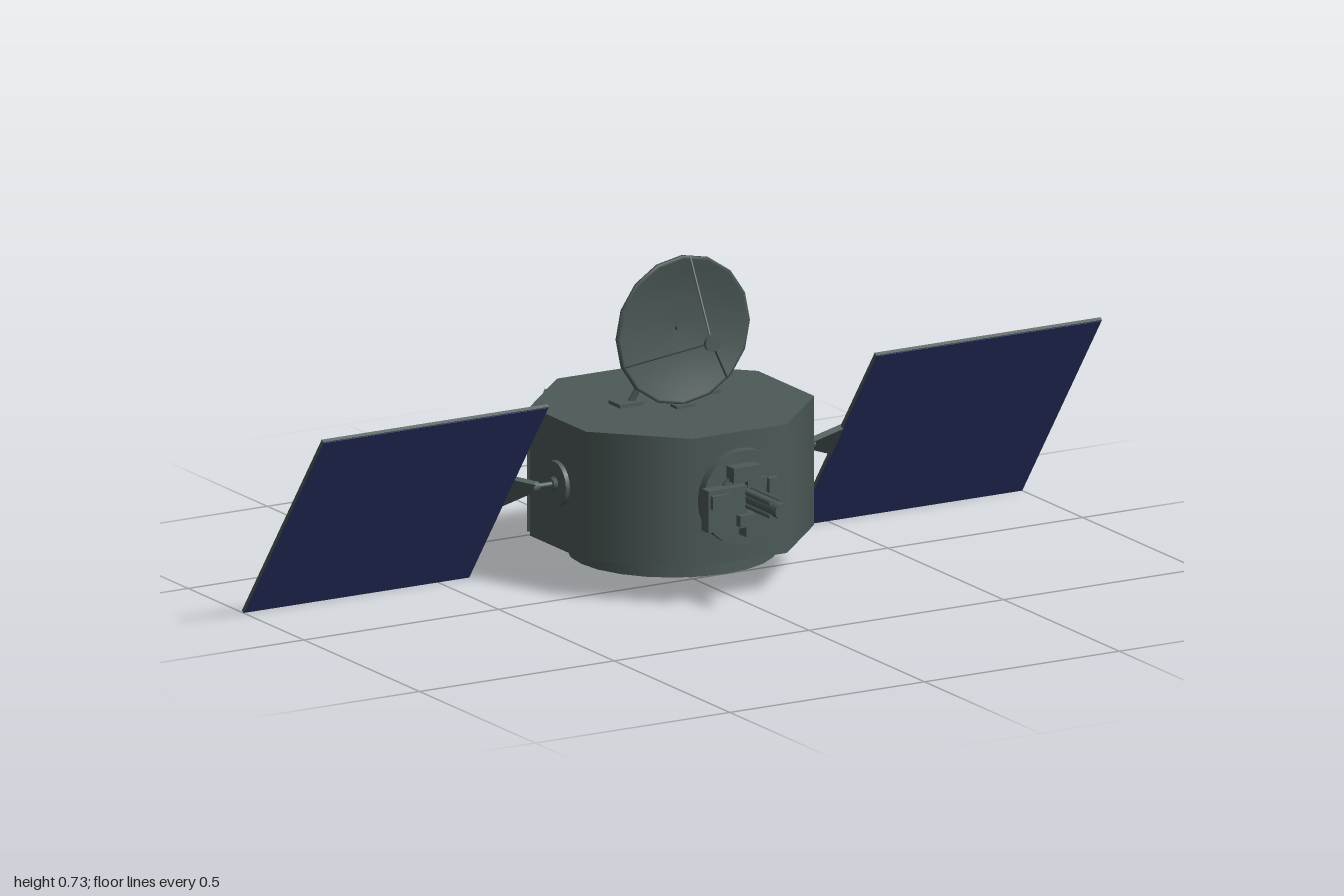
import * as THREE from 'three';

const metal = new THREE.MeshStandardMaterial({ color: 0x4c5a58 });
const blue = new THREE.MeshStandardMaterial({ color: 0x303c78 });
const CZ = -0.092; // body axis
const Y = new THREE.Vector3(0, 1, 0);

function add(parent, name, geo, pos = [0, 0, 0], mat = metal) {
  const m = new THREE.Mesh(geo, mat);
  m.name = name;
  m.position.set(...pos);
  parent.add(m);
  return m;
}
const box = (p, name, size, pos, mat) => add(p, name, new THREE.BoxGeometry(...size), pos, mat);

// Round bar between two points
function rod(parent, name, a, b, r0, r1 = r0, sides = 10) {
  const A = new THREE.Vector3(...a), B = new THREE.Vector3(...b);
  const d = B.clone().sub(A);
  const m = add(parent, name, new THREE.CylinderGeometry(r1, r0, d.length(), sides));
  m.position.copy(A).addScaledVector(d, 0.5);
  m.quaternion.setFromUnitVectors(Y, d.normalize());
  return m;
}

function plate(points, depth) {
  const shape = new THREE.Shape(points.map(p => new THREE.Vector2(...p)));
  return new THREE.ExtrudeGeometry(shape, { depth, bevelEnabled: false });
}

function group(parent, name) {
  const g = new THREE.Group();
  g.name = name;
  parent.add(g);
  return g;
}

function buildDish(root) {
  const g = group(root, 'dishAntenna');
  g.position.set(0, 0.56, 0);
  const profile = [[0, -0.077], [0.04, -0.075], [0.135, -0.062], [0.17, -0.05], [0.17, -0.041],
    [0.163, -0.041], [0.13, -0.052], [0.07, -0.064], [0, -0.068]].map(p => new THREE.Vector2(...p));
  add(g, 'reflector', new THREE.LatheGeometry(profile, 16)).rotation.x = Math.PI / 2;
  // Feed held by three struts
  rod(g, 'feed', [0, 0, 0.079], [0, 0, 0.087], 0.02, 0.02, 12);
  rod(g, 'reflectorCentre', [0, 0, -0.07], [0, 0, -0.06], 0.007);
  for (const deg of [84, 203, 312]) {
    const a = deg * Math.PI / 180;
    rod(g, 'feedStrut', [Math.cos(a) * 0.166, Math.sin(a) * 0.166, -0.042], [0, 0, 0.08], 0.0025, 0.0025, 6);
  }
  // Rear hub and two splayed legs with feet
  rod(g, 'hub', [0, 0, -0.07], [0, 0, -0.095], 0.009);
  for (const s of [-1, 1]) {
    rod(g, 'leg', [s * 0.09, -0.17, -0.12], [0, 0, -0.085], 0.007, 0.007, 8);
    box(g, 'legFoot', [0.06, 0.008, 0.05], [s * 0.1, -0.171, -0.123]);
  }
  box(g, 'dishFoot', [0.05, 0.007, 0.028], [0, -0.172, -0.043]);
}

function buildInstrument(root) {
  const g = group(root, 'frontInstrument');
  g.position.set(0, 0.24, 0.2);
  rod(g, 'mountDisc', [0, 0, -0.005], [0, 0, 0.023], 0.108, 0.108, 24);
  rod(g, 'innerDisc', [0, 0, 0.02], [0, 0, 0.033], 0.07, 0.07, 20);
  // Electronics boxes around the barrel
  box(g, 'sideBox', [0.1, 0.095, 0.03], [-0.062, -0.012, 0.04]);
  box(g, 'sideBoxCover', [0.045, 0.03, 0.012], [-0.085, 0.01, 0.06]);
  box(g, 'upperBox', [0.07, 0.034, 0.033], [-0.012, 0.062, 0.039]);
  box(g, 'upperStep', [0.05, 0.02, 0.02], [0.02, 0.036, 0.034]);
  box(g, 'rightBox', [0.025, 0.07, 0.024], [0.062, 0.005, 0.034]);
  box(g, 'lowerBox', [0.07, 0.055, 0.032], [0.02, -0.055, 0.04]);
  box(g, 'lowerStep', [0.04, 0.025, 0.045], [-0.02, -0.04, 0.048]);
  // Barrel: a bundle of long tubes
  rod(g, 'barrel', [0, 0.005, 0.02], [0, 0.005, 0.185], 0.018, 0.018, 12);
  for (const [x, y] of [[-0.012, 0.02], [0.012, 0.02], [-0.012, -0.01], [0.012, -0.01]])
    rod(g, 'barrelRail', [x, y, 0.02], [x, y, 0.16], 0.007, 0.007, 8);
}

function buildHatch(root, s) {
  const g = group(root, 'rearHatch');
  g.rotation.y = s * Math.PI * 0.75;
  g.position.set(s * 0.207, 0, CZ - 0.207);
  const pts = [[0.107, 0.095], [0.107, 0.32], [-0.05, 0.38], [-0.05, 0.155]].map(([t, y]) => [-s * t, y]);
  add(g, 'hatchPlate', plate(pts, 0.012), [0, 0, -0.002]);
  box(g, 'hatchBlock', [0.04, 0.122, 0.016], [-s * 0.021, 0.239, 0.01]);
  box(g, 'hatchRib', [0.007, 0.14, 0.01], [-s * 0.07, 0.22, 0.01]);
  box(g, 'hatchRib', [0.007, 0.14, 0.01], [s * 0.018, 0.255, 0.01]);
}

function buildWing(root, s) {
  const g = group(root, s > 0 ? 'leftSolarWing' : 'rightSolarWing');
  g.position.set(0, 0.239, CZ);
  g.rotation.x = 0.631;
  // Bearing and drive shaft
  rod(g, 'bearingPlate', [s * 0.285, 0, 0], [s * 0.302, 0, 0], 0.054, 0.05, 20);
  rod(g, 'bearingBoss', [s * 0.3, 0, 0], [s * 0.31, 0, 0], 0.018, 0.012, 12);
  rod(g, 'driveShaft', [s * 0.3, 0, 0], [s * 0.37, 0, 0], 0.006);
  rod(g, 'shaftCollar', [s * 0.345, 0, 0], [s * 0.362, 0, 0], 0.012, 0.014);
  // Yoke widening to the panel
  const pts = [[0.358, -0.014], [0.422, -0.044], [0.422, 0.044], [0.358, 0.014]].map(([x, y]) => [s * x, y]);
  add(g, 'yoke', plate(pts, 0.014), [0, 0, -0.007]);
  // Panel core, with one front sheet and three rear cell strips
  box(g, 'panelCore', [0.58, 0.585, 0.008], [s * 0.71, 0, 0]);
  box(g, 'frontCells', [0.576, 0.581, 0.002], [s * 0.71, 0, 0.0042], blue);
  for (const i of [-1, 0, 1])
    box(g, 'rearCells', [0.575, 0.191, 0.002], [s * 0.71, i * 0.195, -0.0042], blue);
}

export function createModel() {
  const root = new THREE.Group();
  root.name = 'satellite';

  // Eight-sided body on a round base ring
  const body = add(root, 'body', new THREE.CylinderGeometry(0.317, 0.317, 0.295, 8), [0, 0.2375, CZ]);
  body.rotation.y = Math.PI / 8;
  add(root, 'baseRing', new THREE.CylinderGeometry(0.232, 0.232, 0.05, 24), [0, 0.07, CZ]);

  buildDish(root);
  buildInstrument(root);
  for (const s of [-1, 1]) {
    buildHatch(root, s);
    buildWing(root, s);
  }
  return root;
}
